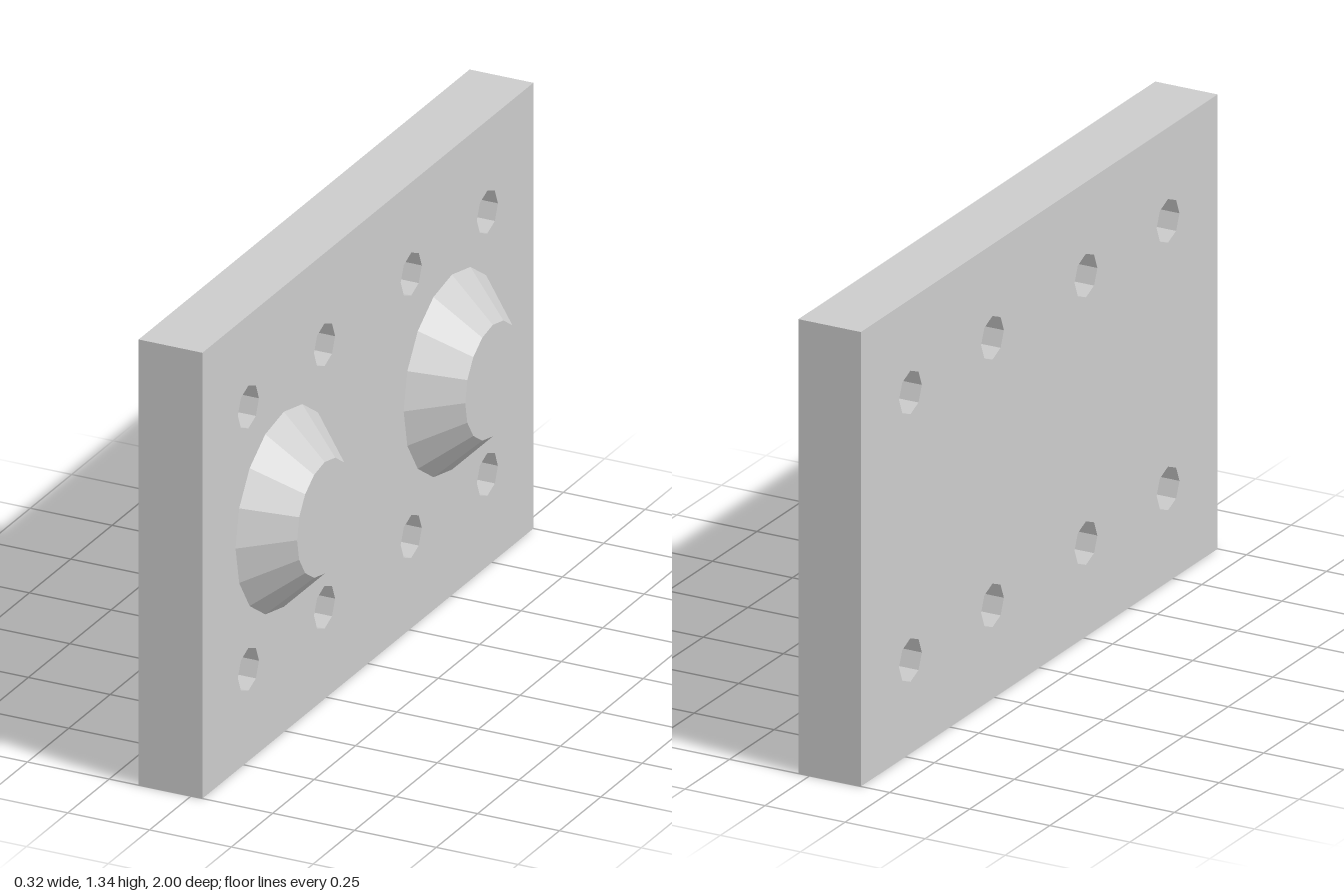
import * as THREE from 'three';

const BACK = -0.16, FACE = 0.035, TIP = 0.16; // plate back, plate face, boss tip along x
const HEIGHT = 1.335, MID = HEIGHT / 2;
const BOSS_Z = 0.508;

// Regular polygon with a corner on each axis
function polygon(cx, cy, radius, sides) {
  return Array.from({ length: sides }, (_, i) => {
    const a = (i / sides) * Math.PI * 2;
    return new THREE.Vector2(cx + radius * Math.cos(a), cy + radius * Math.sin(a));
  });
}

export function createModel() {
  const model = new THREE.Group();
  model.name = 'mountingPlate';
  const material = new THREE.MeshStandardMaterial({ color: 0xcccccc, flatShading: true });

  // Upright plate pierced by eight octagonal bolt holes
  const outline = new THREE.Shape([
    new THREE.Vector2(-1, 0), new THREE.Vector2(1, 0),
    new THREE.Vector2(1, HEIGHT), new THREE.Vector2(-1, HEIGHT),
  ]);
  for (const z of [-0.722, -0.262, 0.262, 0.722]) {
    for (const y of [MID - 0.393, MID + 0.393]) {
      outline.holes.push(new THREE.Path(polygon(z, y, 0.064, 8)));
    }
  }
  const plateGeometry = new THREE.ExtrudeGeometry(outline, { depth: FACE - BACK, bevelEnabled: false });
  plateGeometry.rotateY(Math.PI / 2).translate(BACK, 0, 0);
  const plate = new THREE.Mesh(plateGeometry, material);
  plate.name = 'plate';
  model.add(plate);

  // Two truncated cones on the +x face
  const bossGeometry = new THREE.CylinderGeometry(0.167, 0.292, TIP - FACE, 16);
  bossGeometry.rotateZ(-Math.PI / 2);
  for (const side of [1, -1]) {
    const boss = new THREE.Mesh(bossGeometry, material);
    boss.name = side > 0 ? 'frontBoss' : 'backBoss';
    boss.position.set((FACE + TIP) / 2, MID, side * BOSS_Z);
    model.add(boss);
  }
  return model;
}
